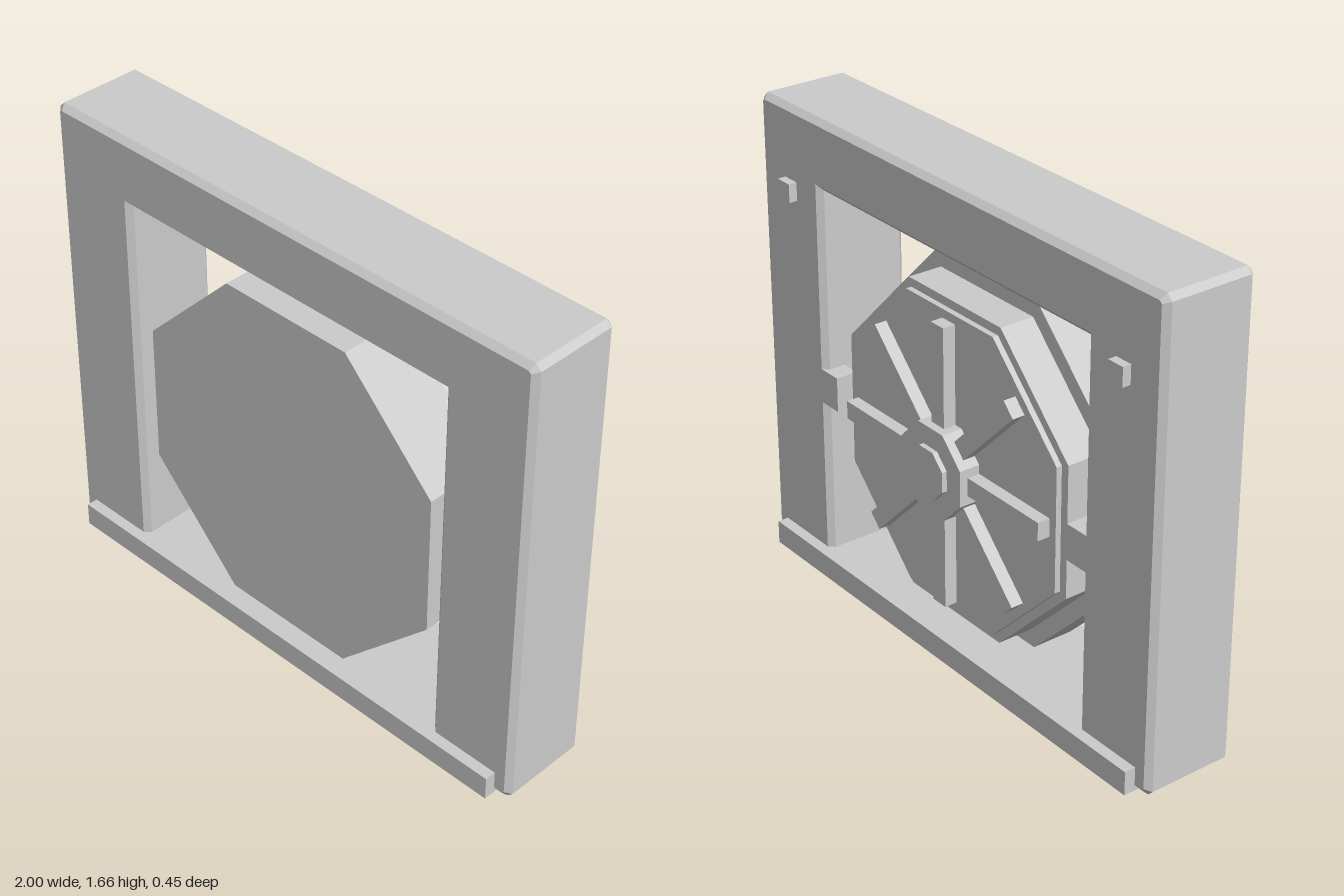
import * as THREE from 'three';

const material = new THREE.MeshStandardMaterial({ color: 0xcccccc, flatShading: true });

export function createModel() {
  const model = new THREE.Group();
  const add = (name, geometry, parent = model) => {
    const mesh = new THREE.Mesh(geometry, material);
    mesh.name = name;
    parent.add(mesh);
    return mesh;
  };
  // box from its lower and upper limits
  const box = (name, x0, x1, y0, y1, z0, z1, parent) =>
    add(name, new THREE.BoxGeometry(x1 - x0, y1 - y0, z1 - z0), parent)
      .position.set((x0 + x1) / 2, (y0 + y1) / 2, (z0 + z1) / 2);

  // chamfered doorway-shaped frame
  const c = 0.02, w = 1, h = 1.665, iw = 0.67, ih = 1.42;
  const outline = [
    [-w, c], [-w + c, 0], [-iw - c, 0], [-iw, c], [-iw, ih], [iw, ih], [iw, c], [iw + c, 0],
    [w - c, 0], [w, c], [w, h - c], [w - c, h], [-w + c, h], [-w, h - c],
  ].map(([x, y]) => new THREE.Vector2(x, y));
  const frame = new THREE.ExtrudeGeometry(new THREE.Shape(outline), {
    depth: 0.335 - 2 * c, bevelThickness: c, bevelSize: c, bevelOffset: -c, bevelSegments: 1,
  });
  frame.translate(0, 0, -0.15 + c);
  add('frame', frame);
  box('basePlate', -0.94, 0.94, 0, 0.085, -0.19, 0.225);

  // side pivots and small lugs on the back of the frame
  for (const s of [-1, 1]) {
    box('pivotBlock', s * 0.645 - 0.045, s * 0.645 + 0.045, 0.65, 0.775, -0.15, -0.07);
    box('backLug', s * 0.832 - 0.032, s * 0.832 + 0.032, 1.345, 1.41, -0.18, -0.14);
  }

  // stepped octagonal door, centred in the opening
  const door = new THREE.Group();
  door.name = 'door';
  door.position.y = 0.71;
  model.add(door);
  const octagon = (name, apothem, z0, z1) => {
    const r = apothem / Math.cos(Math.PI / 8);
    const g = new THREE.CylinderGeometry(r, r, z1 - z0, 8);
    g.rotateY(Math.PI / 8).rotateX(Math.PI / 2).translate(0, 0, (z0 + z1) / 2);
    add(name, g, door);
  };
  octagon('doorFront', 0.615, 0.01, 0.16);
  octagon('doorStep', 0.56, -0.115, 0.02);
  octagon('doorBack', 0.53, -0.135, -0.1);
  octagon('hub', 0.153, -0.21, -0.12);
  octagon('hubCap', 0.085, -0.228, -0.2);

  // eight radial ribs
  for (let i = 0; i < 8; i++) {
    const rib = new THREE.Group();
    rib.rotation.z = (i * Math.PI) / 4;
    rib.name = 'rib';
    door.add(rib);
    box('ribBar', 0.1, 0.5, -0.032, 0.032, -0.18, -0.125, rib);
  }
  return model;
}
